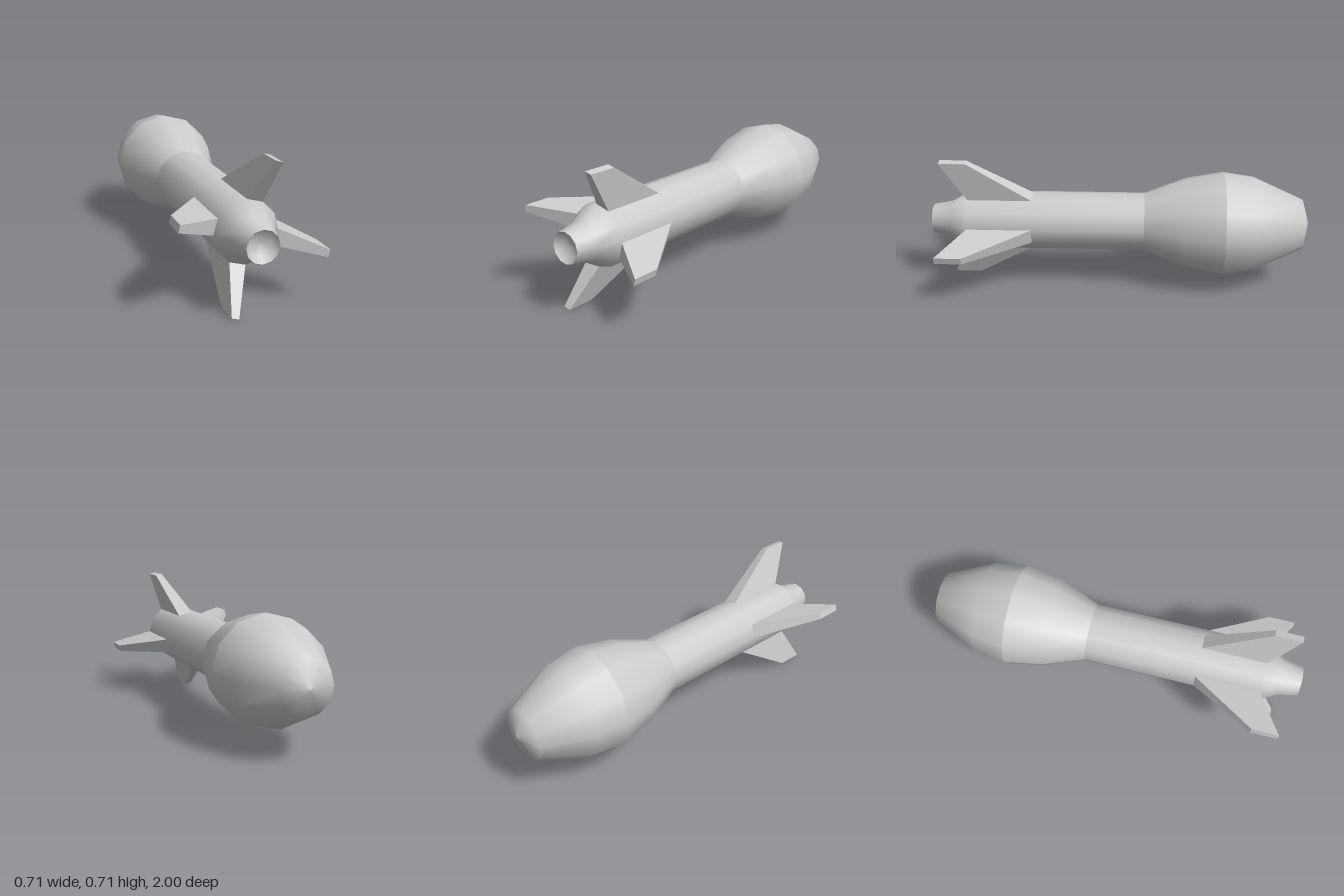
import * as THREE from 'three';

const SIDES = 12;

export function createModel() {
  const model = new THREE.Group();
  model.name = 'rocket';
  model.position.y = 0.355;
  const material = new THREE.MeshStandardMaterial({ color: 0xcccccc });

  const add = (name, geometry) => {
    const mesh = new THREE.Mesh(geometry, material);
    mesh.name = name;
    model.add(mesh);
    return mesh;
  };

  // Turned part along z; profile is [radius, z] with z running from nose to tail
  const turned = (name, profile) => {
    const points = profile.map(([r, z]) => new THREE.Vector2(r, z));
    return add(name, new THREE.LatheGeometry(points, SIDES).rotateX(Math.PI / 2));
  };

  // Bulbous warhead in two smooth halves
  turned('nose', [[0, -1], [0.135, -0.96], [0.25, -0.71], [0.275, -0.545]]);
  turned('warheadRear', [[0.275, -0.545], [0.238, -0.345], [0.155, -0.13]]);

  // Straight tube narrowing to the nozzle, with a shallow dished end
  turned('body', [[0.155, -0.13], [0.155, 0.8], [0.098, 0.9], [0.078, 1]]);
  turned('nozzleDish', [[0.078, 1], [0.052, 0.965], [0, 0.96]]);

  // Swept fin filling one facet of the tube at its root, thinner at the tip
  const root = { r: 0.149, half: 0.04, front: 0.46, back: 0.8 };
  const tip = { r: 0.361, half: 0.018, front: 0.79, back: 0.93 };
  const finGeometry = new THREE.BoxGeometry(1, 1, 1);
  const pos = finGeometry.attributes.position;
  for (let i = 0; i < pos.count; i++) {
    const end = pos.getY(i) > 0 ? tip : root;
    pos.setXYZ(i, Math.sign(pos.getX(i)) * end.half, end.r, pos.getZ(i) > 0 ? end.back : end.front);
  }
  finGeometry.computeVertexNormals();

  // Four fins, each centred on a facet
  for (let i = 0; i < 4; i++) {
    add('fin' + (i + 1), finGeometry).rotation.z = -Math.PI / SIDES - (i * Math.PI) / 2;
  }

  return model;
}
